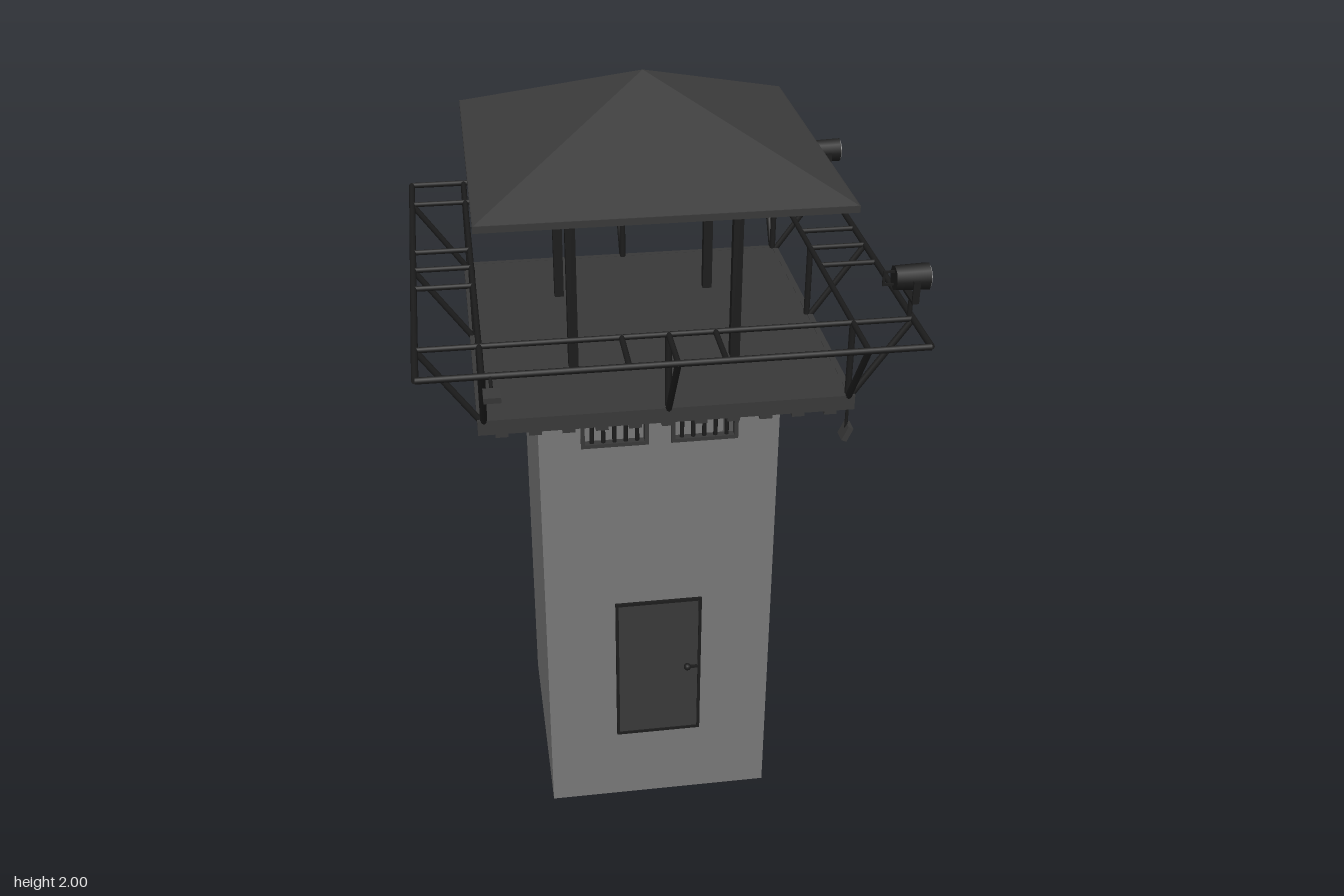
import * as THREE from 'three';

const mat = (color, side = THREE.FrontSide) => new THREE.MeshStandardMaterial({ color, side });
const WALL = mat(0x777777), DARK = mat(0x383838), STEEL = mat(0x1c1c1c), LENS = mat(0x888888);
const ROOF = mat(0x3c3c3c, THREE.DoubleSide);
ROOF.flatShading = true;

function add(parent, name, geometry, material, x = 0, y = 0, z = 0) {
  const mesh = new THREE.Mesh(geometry, material);
  mesh.name = name;
  mesh.position.set(x, y, z);
  parent.add(mesh);
  return mesh;
}
const box = (parent, name, w, h, d, material, x, y, z) =>
  add(parent, name, new THREE.BoxGeometry(w, h, d), material, x, y, z);

// Round bar between two points
function bar(parent, name, a, b, r = 0.007, material = STEEL) {
  const p = new THREE.Vector3(...a), q = new THREE.Vector3(...b);
  const dir = q.clone().sub(p);
  const mesh = add(parent, name, new THREE.CylinderGeometry(r, r, dir.length(), 8), material);
  mesh.position.copy(p).add(q).multiplyScalar(0.5);
  mesh.quaternion.setFromUnitVectors(new THREE.Vector3(0, 1, 0), dir.normalize());
  return mesh;
}

const HALF = 0.3, WALL_TOP = 1.3, DECK = 0.445, DECK_TOP = 1.335;
const INNER = 0.43, OUTER = 0.573, RAIL_Y = 1.52;

function rectPath(P, x, y, w, h) {
  const s = new P();
  s.moveTo(x - w / 2, y - h / 2);
  s.lineTo(x + w / 2, y - h / 2);
  s.lineTo(x + w / 2, y + h / 2);
  s.lineTo(x - w / 2, y + h / 2);
  s.closePath();
  return s;
}

// Frame and vertical bars in a wall opening
function barredWindow(parent, x, y, w, h, count) {
  const g = new THREE.Group();
  g.name = 'barredWindow';
  g.position.set(x, y, HALF - 0.006);
  const t = 0.01;
  for (const s of [-1, 1]) {
    box(g, 'windowFrame', w, t, 0.02, DARK, 0, s * (h - t) / 2, 0);
    box(g, 'windowFrame', t, h, 0.02, DARK, s * (w - t) / 2, 0, 0);
  }
  for (let i = 1; i <= count; i++) {
    const bx = -w / 2 + (w * i) / (count + 1);
    bar(g, 'windowBar', [bx, -h / 2, 0], [bx, h / 2, 0], 0.0055);
  }
  parent.add(g);
}

// One wall with its openings, facing local +z
function wall(parent, windows) {
  const shape = rectPath(THREE.Shape, 0, WALL_TOP / 2, HALF * 2, WALL_TOP);
  for (const [x, y, w, h, n] of windows) {
    shape.holes.push(rectPath(THREE.Path, x, y, w, h));
    barredWindow(parent, x, y, w, h, n);
  }
  const geo = new THREE.ExtrudeGeometry(shape, { depth: 0.03, bevelEnabled: false });
  add(parent, 'wall', geo, WALL, 0, 0, HALF - 0.03);
}

// Gallery railing and joists of one side
function railing(parent) {
  bar(parent, 'outerRail', [-OUTER, RAIL_Y, OUTER], [OUTER, RAIL_Y, OUTER], 0.008);
  bar(parent, 'innerRail', [-INNER, RAIL_Y, INNER], [INNER, RAIL_Y, INNER]);
  for (const x of [-INNER, 0, INNER]) {
    bar(parent, 'slopedStrut', [x, DECK_TOP - 0.01, DECK - 0.01], [x, RAIL_Y, OUTER], 0.008);
    bar(parent, 'railPost', [x, DECK_TOP - 0.01, INNER], [x, RAIL_Y, INNER], 0.008);
  }
  for (const x of [-INNER, -0.108, 0, 0.108, INNER])
    bar(parent, 'railTie', [x, RAIL_Y, INNER], [x, RAIL_Y, OUTER]);
  box(parent, 'deckRim', DECK * 2, 0.038, 0.015, DARK, 0, 1.316, DECK - 0.0075);
  for (let i = -5; i <= 5; i++)
    box(parent, 'joist', 0.03, 0.03, 0.15, DARK, i * 0.078, 1.297, 0.36);
}

// Spotlight on a yoke, shining along +x
function spotlight(parent, z) {
  const g = new THREE.Group();
  g.name = 'spotlight';
  g.position.set(0.555, RAIL_Y, z);
  bar(g, 'stem', [0, 0, 0], [0, 0.05, 0], 0.006);
  box(g, 'yokeBase', 0.016, 0.007, 0.068, STEEL, 0, 0.05, 0);
  for (const s of [-1, 1]) box(g, 'yokeArm', 0.016, 0.055, 0.006, STEEL, 0, 0.075, s * 0.034);
  const body = add(g, 'lampBody', new THREE.CylinderGeometry(0.033, 0.03, 0.08, 8), STEEL, -0.005, 0.1, 0);
  body.rotation.set(0, 0, -Math.PI / 2);
  const lens = add(g, 'lens', new THREE.CylinderGeometry(0.027, 0.027, 0.004, 16), LENS, 0.036, 0.1, 0);
  lens.rotation.z = -Math.PI / 2;
  for (const s of [-1, 1]) box(g, 'rearHandle', 0.03, 0.005, 0.005, STEEL, -0.055, 0.1 + s * 0.016, 0);
  box(g, 'rearHandle', 0.005, 0.037, 0.005, STEEL, -0.069, 0.1, 0);
  parent.add(g);
}

// Small floodlight on a thin arm
function floodlight(parent, from, to, tiltX, tiltZ) {
  const g = new THREE.Group();
  g.name = 'floodlight';
  bar(g, 'arm', from, to, 0.004);
  const head = new THREE.Group();
  head.position.set(...to);
  head.rotation.set(tiltX, 0, tiltZ);
  box(head, 'head', 0.038, 0.014, 0.038, DARK, 0, 0, 0);
  box(head, 'lens', 0.03, 0.003, 0.03, LENS, 0, -0.007, 0);
  g.add(head);
  parent.add(g);
}

export function createModel() {
  const model = new THREE.Group();
  model.name = 'watchtower';
  const tower = new THREE.Group();
  tower.name = 'tower';
  tower.position.set(-0.013, 0, -0.043);
  model.add(tower);

  // Four sides: walls, windows, railings
  for (let k = 0; k < 4; k++) {
    const side = new THREE.Group();
    side.name = ['frontSide', 'leftSide', 'backSide', 'rightSide'][k];
    side.rotation.y = (k * Math.PI) / 2;
    const windows = [-1, 1].map((s) => [s * 0.112, 1.192, 0.168, 0.075, 5]);
    if (k === 1) windows.push([0, 0.555, 0.44, 0.22, 10]);
    wall(side, windows);
    railing(side);
    tower.add(side);
  }
  box(tower, 'base', HALF * 2 - 0.002, 0.02, HALF * 2 - 0.002, DARK, 0, 0.0105, 0);
  box(tower, 'deck', DECK * 2 - 0.004, 0.024, DECK * 2 - 0.004, DARK, 0, DECK_TOP - 0.0125, 0);

  // Door with frame and handles
  const door = new THREE.Group();
  door.name = 'door';
  door.position.set(-0.002, 0.447, HALF);
  box(door, 'doorLeaf', 0.22, 0.436, 0.008, DARK, 0, 0, 0);
  for (const s of [-1, 1]) {
    box(door, 'doorFrame', 0.008, 0.448, 0.014, STEEL, s * 0.111, 0, 0);
    box(door, 'doorFrame', 0.23, 0.008, 0.014, STEEL, 0, s * 0.22, 0);
  }
  for (const z of [0.012, -0.042]) {
    add(door, 'knob', new THREE.SphereGeometry(0.01, 10, 8), STEEL, 0.078, 0, z);
    box(door, 'handle', 0.03, 0.007, 0.006, STEEL, 0.09, 0, z);
  }
  tower.add(door);

  // Roof: pyramid shell, eave, posts, ring beams and rafters
  const R = 0.428, EAVE = 1.805, APEX = 2;
  const roof = new THREE.Group();
  roof.name = 'roof';
  const shell = add(roof, 'roofShell',
    new THREE.ConeGeometry(R * Math.SQRT2, APEX - EAVE, 4, 1, true), ROOF, 0, (EAVE + APEX) / 2, 0);
  shell.rotation.y = Math.PI / 4;
  for (let k = 0; k < 4; k++) {
    const side = new THREE.Group();
    side.name = 'roofSide';
    side.rotation.y = (k * Math.PI) / 2;
    box(side, 'eave', R * 2, 0.016, 0.012, DARK, 0, EAVE - 0.007, R - 0.006);
    box(side, 'ringBeam', 0.42, 0.02, 0.02, STEEL, 0, 1.88, 0.2);
    box(side, 'roofPost', 0.024, 1.89 - DECK_TOP, 0.024, STEEL, 0.2, (1.89 + DECK_TOP) / 2, 0.2);
    bar(side, 'hipRafter', [R - 0.02, EAVE - 0.004, R - 0.02], [0, APEX - 0.018, 0], 0.009);
    bar(side, 'rafter', [0, EAVE - 0.004, R - 0.02], [0, APEX - 0.018, 0], 0.008);
    roof.add(side);
  }
  tower.add(roof);

  // Lights on the gallery
  for (const z of [-0.465, 0.372]) spotlight(model, z);
  for (const z of [-0.473, -0.043, 0.39])
    floodlight(model, [0.418, 1.31, z], [0.418, 1.232, z], 0, 1.15);
  floodlight(model, [-0.425, RAIL_Y, 0.53], [-0.425, 1.51, 0.6], 0.12, 0);
  return model;
}
